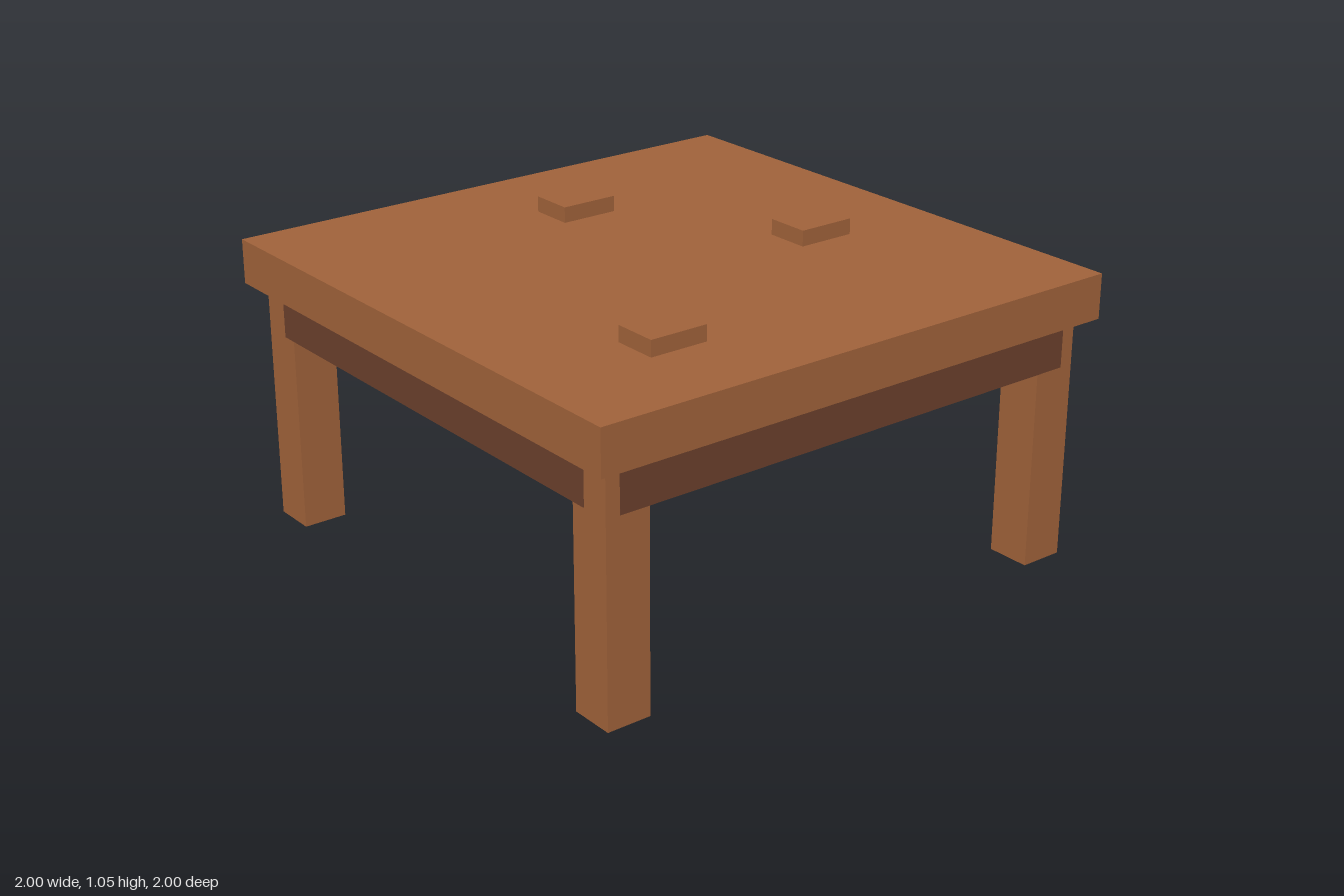
import * as THREE from 'three';

export function createModel() {
  const table = new THREE.Group();
  table.name = 'table';

  const wood = new THREE.MeshStandardMaterial({ color: 0xa0623a });
  wood.name = 'warm wood';
  const darkWood = new THREE.MeshStandardMaterial({ color: 0x6b402c });
  darkWood.name = 'dark wood';

  // Box given by its size, the centre of its base and its material
  function addBox(name, [w, h, d], [x, y, z], material) {
    const mesh = new THREE.Mesh(new THREE.BoxGeometry(w, h, d), material);
    mesh.name = name;
    mesh.position.set(x, y + h / 2, z);
    table.add(mesh);
  }

  const topBase = 0.845;
  const legWidth = 0.156;
  const legCentre = 0.867;
  const railBase = 0.685;
  const railHeight = topBase - railBase;
  const railDepth = legWidth + 0.003; // just proud of the legs

  addBox('tableTop', [2, 1 - topBase, 2], [0, topBase, 0], wood);

  // Four square legs
  for (const sx of [-1, 1]) {
    for (const sz of [-1, 1]) {
      const name = (sz > 0 ? 'front' : 'back') + (sx > 0 ? 'Left' : 'Right') + 'Leg';
      addBox(name, [legWidth, topBase, legWidth], [sx * legCentre, 0, sz * legCentre], wood);
    }
  }

  // Rails under the top, the front and back pair slightly longer
  for (const s of [-1, 1]) {
    addBox(s > 0 ? 'frontRail' : 'backRail',
      [1.79, railHeight, railDepth], [0, railBase, s * legCentre], darkWood);
    addBox(s > 0 ? 'leftRail' : 'rightRail',
      [railDepth, railHeight, 1.685], [s * legCentre, railBase, 0], darkWood);
  }

  // Small blocks lying on the top
  const blocks = [[-0.475, 0.604], [0.053, -0.553], [0.526, 0.132]];
  blocks.forEach(([x, z], i) => {
    addBox('block' + (i + 1), [0.21, 0.055, 0.157], [x, 1, z], wood);
  });

  return table;
}
